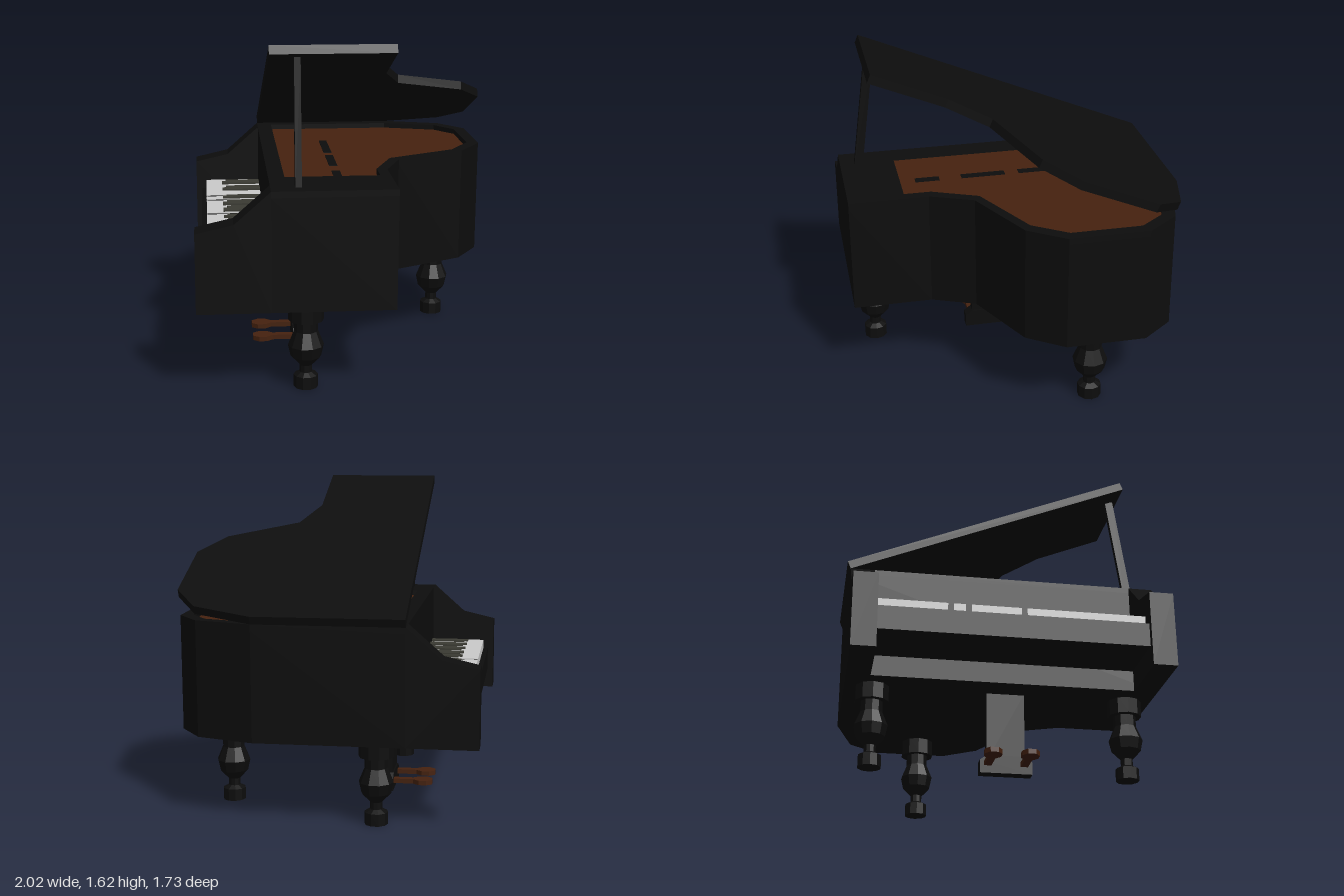
import * as THREE from 'three';

const mat = (name, color) => {
  const m = new THREE.MeshStandardMaterial({ color });
  m.name = name;
  return m;
};

export function createModel() {
  const black = mat('black lacquer', 0x0d0d0d);
  const brown = mat('brown wood', 0x46220f);
  const ivory = mat('ivory', 0xcccccc);
  const ebony = mat('ebony', 0x3b3b33);

  const model = new THREE.Group();
  model.name = 'grandPiano';
  // Piano space: x runs along the keyboard, z from the player to the tail
  const piano = new THREE.Group();
  piano.name = 'piano';
  piano.position.set(-1, 0, 0.19);
  piano.rotation.y = 0.7535;
  model.add(piano);

  const add = (name, geo, material, x = 0, y = 0, z = 0, parent = piano) => {
    const m = new THREE.Mesh(geo, material);
    m.name = name;
    m.position.set(x, y, z);
    parent.add(m);
    return m;
  };
  // Box given by its limits on each axis
  const box = (name, material, [x0, x1], [y0, y1], [z0, z1]) =>
    add(name, new THREE.BoxGeometry(x1 - x0, y1 - y0, z1 - z0), material,
      (x0 + x1) / 2, (y0 + y1) / 2, (z0 + z1) / 2);
  // Plan outline [x, z] raised to a slab of height h
  const toPlan = (pts) => pts.map(([x, z]) => new THREE.Vector2(x, -z));
  const slab = (pts, h, hole) => {
    const s = new THREE.Shape(toPlan(pts));
    if (hole) s.holes.push(new THREE.Path(toPlan(hole)));
    return new THREE.ExtrudeGeometry(s, { depth: h, bevelEnabled: false }).rotateX(-Math.PI / 2);
  };

  const W = 1.55, bottom = 0.415, top = 0.985, floor = 0.955, back = 0.344;
  const outline = [[0, back], [0, 0.92], [0.383, 0.92], [0.59, 1.007], [0.757, 1.355],
    [0.931, 1.477], [1.313, 1.478], [1.465, 1.361], [W, 1.075], [W, back]];
  const opening = [[0.27, 0.42], [0.27, 0.87], [0.4, 0.87], [0.62, 0.965], [0.79, 1.31],
    [0.95, 1.42], [1.29, 1.42], [1.41, 1.33], [1.49, 1.06], [1.49, 0.42]];

  // Case with a sunken soundboard
  add('case', slab(outline, floor - bottom), black, 0, bottom);
  add('rim', slab(outline, top - floor, opening), black, 0, floor);
  add('soundboard', slab(opening, 0.004), brown, 0, floor);
  for (const [a, b] of [[0.35, 0.47], [0.58, 0.8], [0.87, 1.15]])
    box('bridge', black, [a, b], [floor, floor + 0.008], [0.66, 0.7]);

  // Sloping cheeks on both sides of the keyboard
  const cheek = new THREE.Shape([[0, bottom], [-back, bottom], [-back, top], [-0.175, 0.835], [0, 0.795]]
    .map(([z, y]) => new THREE.Vector2(z, y)));
  const cheekGeo = new THREE.ExtrudeGeometry(cheek, { depth: 0.12, bevelEnabled: false }).rotateY(Math.PI / 2);
  add('rightCheek', cheekGeo, black, 0);
  add('leftCheek', cheekGeo, black, W - 0.12);

  // Keyboard: raised bed, white keys with dark gaps, black keys on top
  box('keyBed', black, [0.12, 1.43], [0.52, 0.64], [0.03, back]);
  const gaps = [0.725, 0.995, 1.08];
  const edges = [0.13, ...gaps.flatMap((g) => [g - 0.014, g + 0.014]), 1.43];
  for (let i = 0; i < edges.length; i += 2)
    box('whiteKeys', ivory, [edges[i], edges[i + 1]], [0.64, 0.688], [0.055, back]);
  for (const g of gaps)
    box('keyGap', black, [g - 0.014, g + 0.014], [0.64, 0.684], [0.058, back]);
  const blackKeys = [[0.19, 0.05], [0.315, 0.07], [0.44, 0.07], [0.57, 0.08], [0.665, 0.05],
    [0.8, 0.09], [0.92, 0.08], [1.04, 0.05], [1.22, 0.08], [1.355, 0.07]];
  for (const [x, w] of blackKeys) {
    box('blackKey', ebony, [x - w / 2, x], [0.688, 0.697], [0.14, back]);
    box('blackKey', ebony, [x, x + w / 2], [0.688, 0.697], [0.16, back]);
  }

  // Open lid hinged on the straight side
  const lid = add('lid', slab(outline.map(([x, z]) => [x - W, z]), 0.042), black, W, top, 0);
  lid.rotation.z = -0.394;

  // Lid prop
  const from = new THREE.Vector3(0.09, 0.97, 0.472), to = new THREE.Vector3(0.17, 1.56, 0.472);
  const mid = from.clone().lerp(to, 0.5);
  const prop = add('lidProp', new THREE.BoxGeometry(0.042, from.distanceTo(to), 0.03), black, mid.x, mid.y, mid.z);
  prop.rotation.z = -Math.atan2(to.x - from.x, to.y - from.y);

  // Turned legs
  const legProfile = [[0, 0], [0.058, 0], [0.058, 0.06], [0.03, 0.075], [0.03, 0.11], [0.073, 0.155],
    [0.085, 0.21], [0.056, 0.28], [0.056, 0.335], [0.085, 0.335], [0.085, 0.42]]
    .map(([r, y]) => new THREE.Vector2(r, y));
  const legGeo = new THREE.LatheGeometry(legProfile, 10).toNonIndexed();
  legGeo.computeVertexNormals();
  for (const [x, z] of [[0.13, 0.51], [1.41, 0.5], [1.1, 1.28]])
    add('leg', legGeo, black, x, 0, z);

  // Pedal post with a chamfered foot
  const px = 0.745, pz = 0.514;
  box('pedalPost', black, [px - 0.095, px + 0.095], [0.06, 0.42], [pz - 0.023, pz + 0.023]);
  const foot = new THREE.Shape([[-0.13, 0], [0.13, 0], [0.13, 0.065], [0.095, 0.09], [-0.095, 0.09], [-0.13, 0.065]]
    .map(([x, y]) => new THREE.Vector2(x, y)));
  add('pedalFoot', new THREE.ExtrudeGeometry(foot, { depth: 0.06, bevelEnabled: false }), black, px, 0, pz - 0.03);

  // Two pedals with wide rounded ends
  const pedal = [[-0.018, 0.21], [-0.018, 0.1], [-0.042, 0.07], [-0.042, 0.03], [-0.02, 0],
    [0.02, 0], [0.042, 0.03], [0.042, 0.07], [0.018, 0.1], [0.018, 0.21]];
  for (const s of [-1, 1])
    add('pedal', slab(pedal, 0.024), brown, px + s * 0.09, 0.037, 0.28);

  return model;
}
